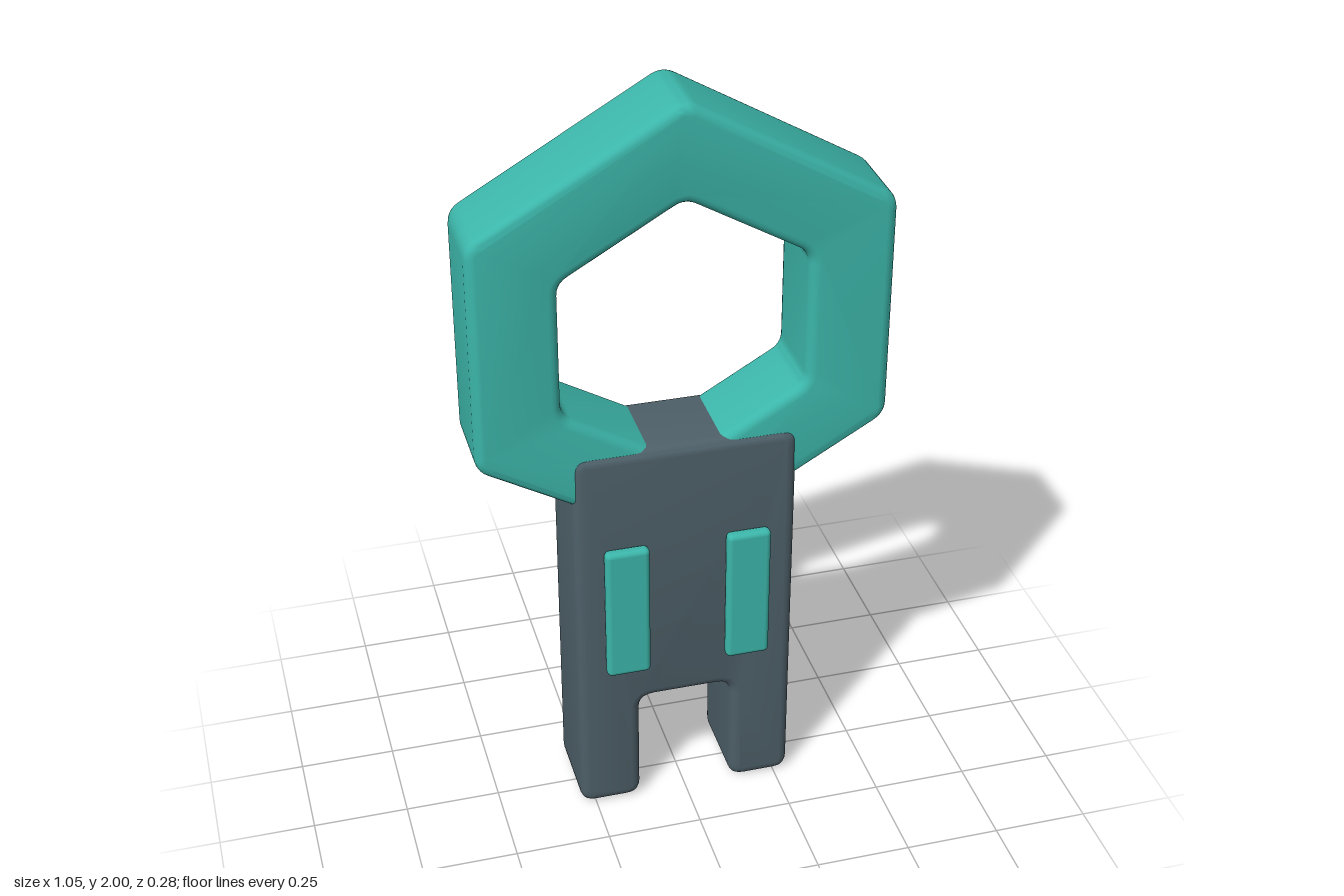
import * as THREE from 'three';
import { toCreasedNormals } from 'three/addons/utils/BufferGeometryUtils.js';
import { RoundedBoxGeometry } from 'three/addons/geometries/RoundedBoxGeometry.js';

// Trace a closed polygon with softened corners into a Shape or Path
function roundedPolygon(path, corners, d) {
  const pts = corners.map(([x, y]) => new THREE.Vector2(x, y));
  const n = pts.length;
  pts.forEach((p, i) => {
    const prev = pts[(i + n - 1) % n], next = pts[(i + 1) % n];
    const a = prev.clone().sub(p).setLength(d).add(p);
    const b = next.clone().sub(p).setLength(d).add(p);
    if (i === 0) path.moveTo(a.x, a.y);
    else path.lineTo(a.x, a.y);
    path.quadraticCurveTo(p.x, p.y, b.x, b.y);
  });
  path.closePath();
  return path;
}

function hexagon(radius, cy) {
  return Array.from({ length: 6 }, (_, i) => {
    const a = Math.PI / 2 + i * Math.PI / 3;
    return [radius * Math.cos(a), cy + radius * Math.sin(a)];
  });
}

// Bevelled slab between two z planes; the bevel stays inside the outline
function slab(shape, back, front, bevel) {
  const geo = new THREE.ExtrudeGeometry(shape, {
    depth: front - back - 2 * bevel,
    bevelThickness: bevel, bevelSize: bevel, bevelOffset: -bevel,
    bevelSegments: 4, curveSegments: 5,
  });
  geo.translate(0, 0, back + bevel);
  return toCreasedNormals(geo, 0.6);
}

export function createModel() {
  const model = new THREE.Group();
  const teal = new THREE.MeshStandardMaterial({ color: 0x3cb6aa });
  teal.name = 'teal';
  const slate = new THREE.MeshStandardMaterial({ color: 0x4e6069 });
  slate.name = 'slate';

  const add = (name, geo, mat) => {
    const mesh = new THREE.Mesh(geo, mat);
    mesh.name = name;
    model.add(mesh);
    return mesh;
  };

  // Hexagonal ring head
  const ring = roundedPolygon(new THREE.Shape(), hexagon(0.608, 1.4), 0.035);
  ring.holes.push(roundedPolygon(new THREE.Path(), hexagon(0.358, 1.4).reverse(), 0.03));
  add('ringHead', slab(ring, -0.135, 0.1, 0.025), teal);

  // Body with two legs
  const body = roundedPolygon(new THREE.Shape(), [
    [-0.29, 0], [-0.125, 0], [-0.125, 0.33], [0.125, 0.33],
    [0.125, 0], [0.29, 0], [0.29, 1.097], [-0.29, 1.097],
  ], 0.04);
  add('body', slab(body, -0.14, 0.108, 0.026), slate);

  // Raised strips on the chest
  for (const side of [-1, 1]) {
    const strip = add(side > 0 ? 'leftStrip' : 'rightStrip',
      new RoundedBoxGeometry(0.116, 0.385, 0.034, 3, 0.014), teal);
    strip.position.set(side * 0.16, 0.632, 0.122);
  }

  return model;
}
